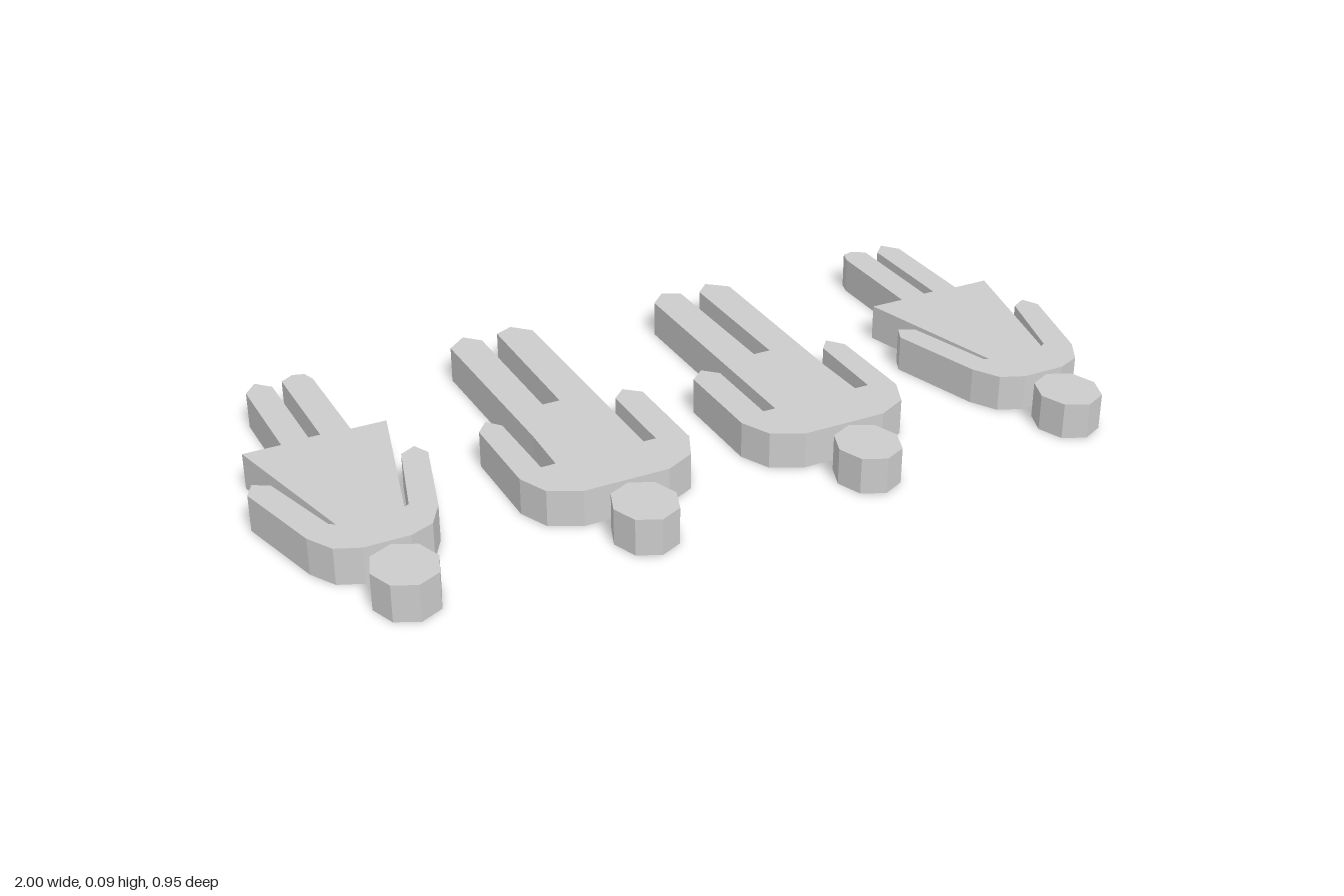
import * as THREE from 'three';

const HEIGHT = 0.086;
const material = new THREE.MeshStandardMaterial({ color: 0xcccccc, flatShading: true });

// Body outlines as [x, z] in plan, going round from the outer side of one arm
const trousersBody = [
  [-0.47, -0.03], [-0.44, -0.067], [-0.413, -0.035],              // arm
  [-0.41, 0.17], [-0.376, 0.17],                                  // gap beside the body
  [-0.372, 0.04], [-0.377, -0.435], [-0.33, -0.475], [-0.295, -0.44], // leg
  [-0.295, -0.083], [-0.253, -0.083],                             // gap between the legs
  [-0.25, -0.455], [-0.207, -0.475], [-0.167, -0.435],            // leg
  [-0.167, 0.17], [-0.137, 0.17],
  [-0.137, -0.035], [-0.104, -0.067], [-0.068, -0.035],           // arm
  [-0.068, 0.195], [-0.1, 0.265], [-0.17, 0.3],                   // shoulders
  [-0.37, 0.3], [-0.44, 0.265], [-0.47, 0.195],
];
const dressBody = [
  [-1, 0], [-0.98, -0.038], [-0.944, -0.018],                     // arm
  [-0.885, 0.183], [-0.873, 0.19],
  [-0.96, -0.173], [-0.873, -0.173],                              // skirt corner
  [-0.873, -0.435], [-0.842, -0.473], [-0.81, -0.44],             // leg
  [-0.81, -0.178], [-0.783, -0.178],
  [-0.783, -0.455], [-0.752, -0.475], [-0.725, -0.467], [-0.715, -0.435], // leg
  [-0.715, -0.173], [-0.632, -0.173],                             // skirt corner
  [-0.725, 0.19], [-0.713, 0.183],
  [-0.655, -0.018], [-0.618, -0.038], [-0.6, 0],                  // arm
  [-0.66, 0.215], [-0.695, 0.275], [-0.75, 0.298],                // shoulders
  [-0.853, 0.298], [-0.908, 0.275], [-0.943, 0.215],
];

// One flat figure: an extruded body with a separate octagonal head
function figure(name, outline, headX, mirror, shift) {
  const group = new THREE.Group();
  group.name = name;
  const place = (x) => (mirror ? -x + shift : x);

  const shape = new THREE.Shape(outline.map(([x, z]) => new THREE.Vector2(place(x), -z)));
  const bodyGeometry = new THREE.ExtrudeGeometry(shape, { depth: HEIGHT, bevelEnabled: false });
  bodyGeometry.rotateX(-Math.PI / 2);
  const body = new THREE.Mesh(bodyGeometry, material);
  body.name = 'body';

  const headGeometry = new THREE.CylinderGeometry(0.082, 0.082, HEIGHT, 8);
  headGeometry.scale(0.89, 1, 1);
  const head = new THREE.Mesh(headGeometry, material);
  head.name = 'head';
  head.position.set(place(headX), HEIGHT / 2, 0.393);

  group.add(body, head);
  return group;
}

export function createModel() {
  const model = new THREE.Group();
  model.name = 'figureRow';
  // A dress figure at each end, two trouser figures between
  model.add(
    figure('rightDressFigure', dressBody, -0.8, false, 0),
    figure('rightTrouserFigure', trousersBody, -0.273, false, 0),
    figure('leftTrouserFigure', trousersBody, -0.273, true, -0.006),
    figure('leftDressFigure', dressBody, -0.8, true, 0),
  );
  return model;
}
